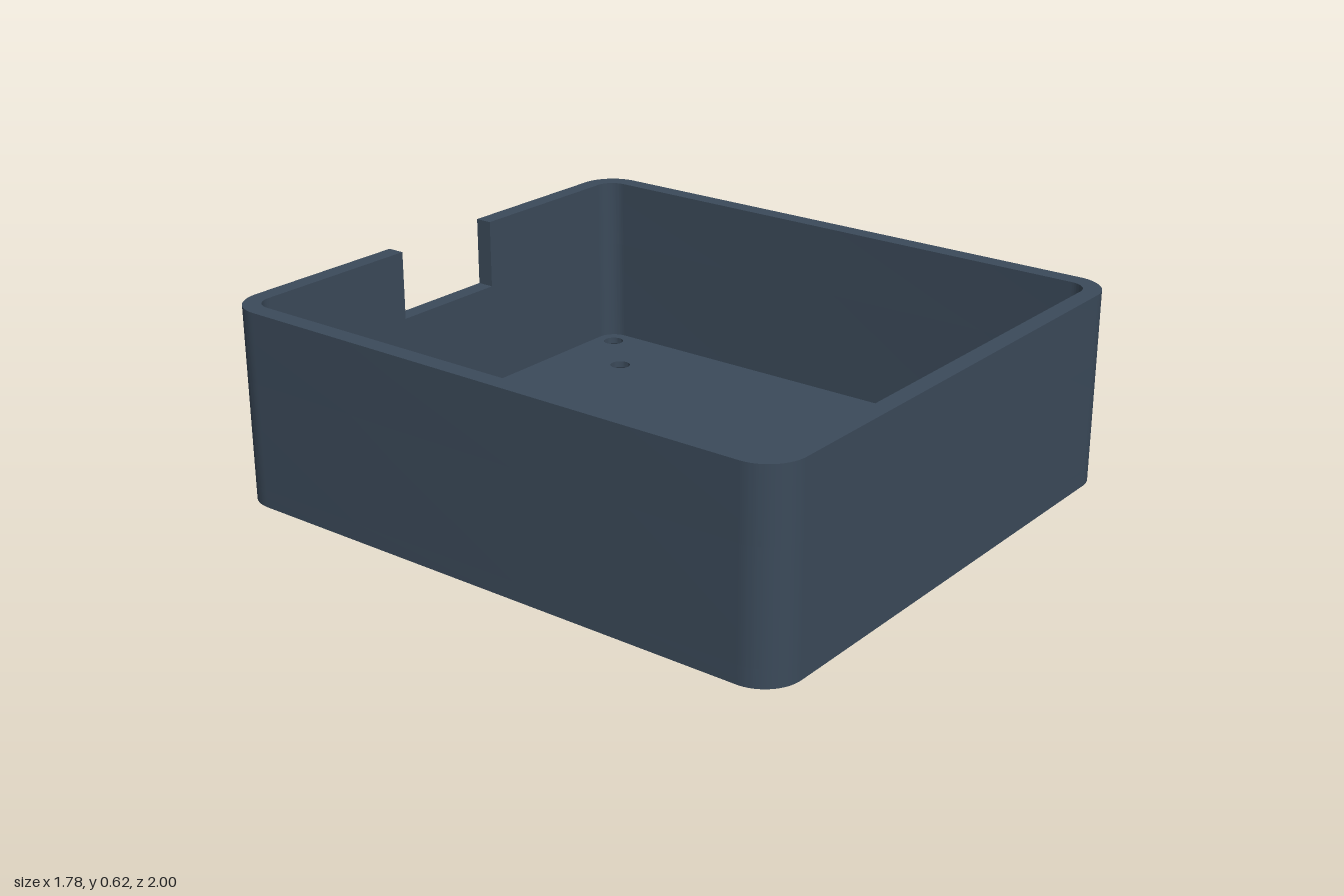
import * as THREE from 'three';
import { toCreasedNormals } from 'three/addons/utils/BufferGeometryUtils.js';

const W = 0.888, D = 1, H = 0.625;      // half width, half depth, height
const R = 0.12, WALL = 0.057;           // outer corner radius, wall and floor thickness
const RIM = 0.02;                       // width of the solid rim around the underside
const NOTCH_X = 0.205, NOTCH_Y = 0.4;   // half width and sill height of the rear notch
const HOLE_R = 0.034, SINK_R = 0.07;    // screw hole and countersink radii
const HOLES = [];
for (const sx of [-1, 1]) for (const sz of [-1, 1]) {
  HOLES.push([sx * 0.762, sz * 0.876], [sx * 0.59, sz * 0.705]);
}

// Rounded rectangle around the plan, open at the rear edge (+y) between x = -gap and gap
function trace(path, inset, gap, clockwise) {
  const w = W - inset, d = D - inset, r = R - inset, q = Math.PI / 2;
  const corners = [[1, 1, q], [1, -1, 0], [-1, -1, -q], [-1, 1, -2 * q]];
  const side = clockwise ? 1 : -1;
  if (!clockwise) corners.reverse();
  path.lineTo(side * gap, d);
  for (const [x, y, a] of corners) {
    path.absarc(x * (w - r), y * (d - r), r, clockwise ? a : a - q, clockwise ? a - q : a, clockwise);
  }
  path.lineTo(-side * gap, d);
  return path;
}

function outline(inset, clockwise) {
  const s = new THREE.Shape();
  s.moveTo(0, D - inset);
  return trace(s, inset, 0, clockwise);
}

// Closed wall plan of the given thickness
function ring(thickness) {
  const s = outline(0, true);
  s.holes.push(outline(thickness, false));
  return s;
}

// Extrude a plan shape upwards from y0 to y1
function extrudeUp(shape, y0, y1) {
  const g = new THREE.ExtrudeGeometry(shape, { depth: y1 - y0, bevelEnabled: false, curveSegments: 12 });
  g.rotateX(-Math.PI / 2).translate(0, y0, 0);
  return toCreasedNormals(g, 0.5);
}

// Upward floor surface with screw holes of the given radius
function floorFace(inset, radius) {
  const s = outline(inset, false);
  for (const [x, z] of HOLES) s.holes.push(new THREE.Path().absarc(x, -z, radius, 0, Math.PI * 2, true));
  return new THREE.ShapeGeometry(s, 16).rotateX(-Math.PI / 2);
}

export function createModel() {
  const group = new THREE.Group();
  group.name = 'openEnclosure';
  const slate = new THREE.MeshStandardMaterial({ color: 0x3b4a5a, side: THREE.DoubleSide });
  slate.name = 'slateBlue';
  const add = (name, geometry) => {
    const m = new THREE.Mesh(geometry, slate);
    m.name = name;
    group.add(m);
    return m;
  };

  // Walls: rim at floor level, closed wall up to the notch sill
  add('floorRim', extrudeUp(ring(RIM), 0, WALL));
  add('lowerWall', extrudeUp(ring(WALL), WALL, NOTCH_Y));

  // Upper wall, open at the rear notch
  const open = new THREE.Shape();
  open.moveTo(NOTCH_X, D);
  trace(open, 0, NOTCH_X, true);
  trace(open, WALL, NOTCH_X, false);
  open.closePath();
  add('upperWall', extrudeUp(open, NOTCH_Y, H));

  // Floor: inner top, and underside turned face down
  add('floorTop', floorFace(WALL, HOLE_R).translate(0, WALL, 0));
  add('floorUnderside', floorFace(RIM, SINK_R).rotateX(Math.PI));

  // Countersunk screw holes
  const profile = [[HOLE_R, WALL], [HOLE_R, 0.034], [SINK_R, 0]].map(p => new THREE.Vector2(...p));
  const sink = toCreasedNormals(new THREE.LatheGeometry(profile, 32), 0.5);
  for (const [x, z] of HOLES) add('screwHole', sink).position.set(x, 0, z);

  return group;
}
